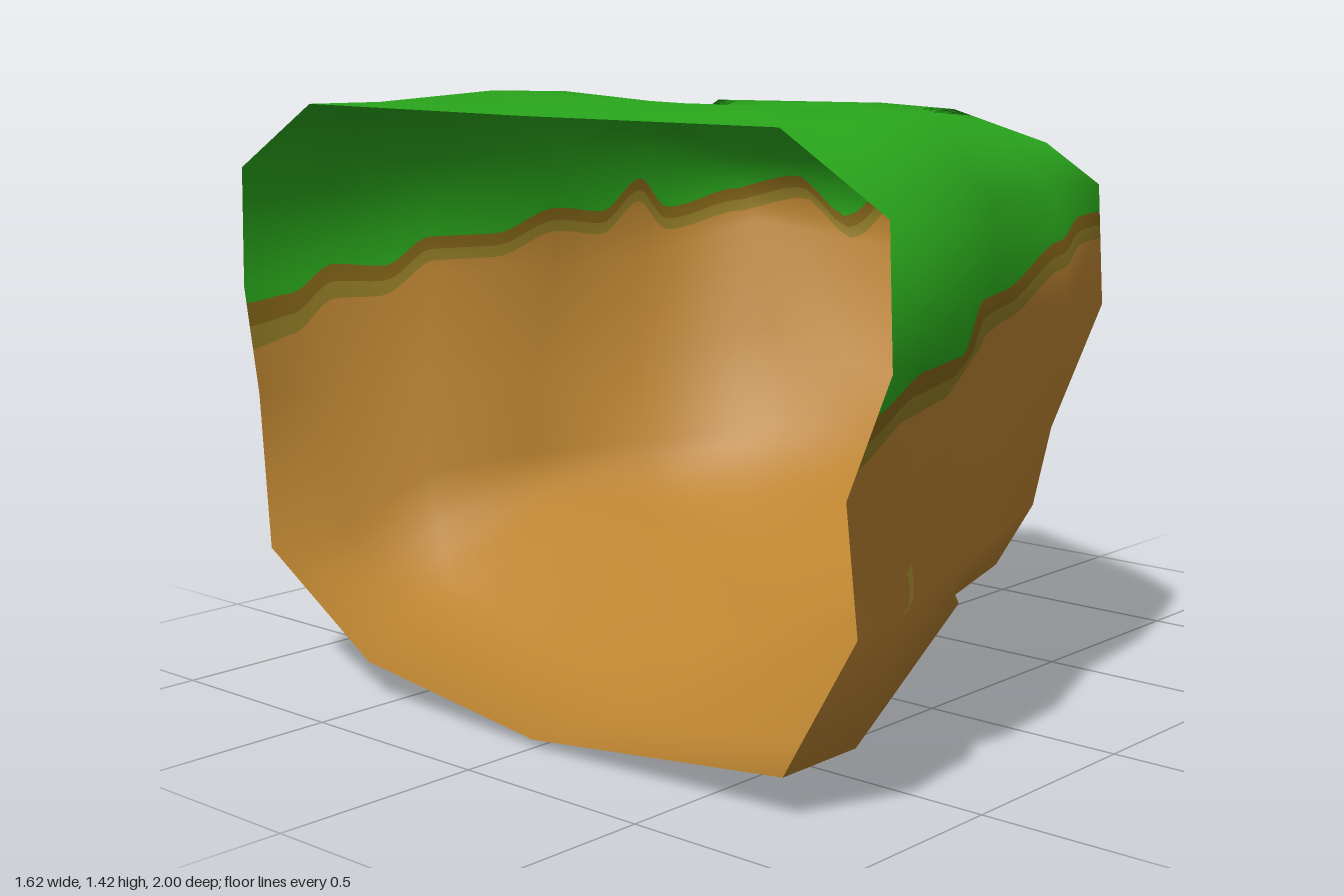
import * as THREE from 'three';

const OPEN = -0.81; // x of the open end

// Widest outline [x, z], running from the open end round the nose and back
const outline = [
  [-0.81, 1], [-0.55, 0.97], [-0.25, 0.86], [0.08, 0.81], [0.33, 0.73], [0.57, 0.5], [0.81, 0],
  [0.56, -0.53], [0.33, -0.74], [0.02, -0.76], [-0.3, -0.88], [-0.53, -1], [-0.81, -0.99],
];
const LAST = outline.length - 1;

// Levels from top spine to bottom spine: length scale, width scale, height at open end and nose
const levels = [
  { sx: 0.70, sz: 0, y0: 1.397, y1: 1.385 },
  { sx: 0.765, sz: 0.72, y0: 1.4, y1: 1.38 },
  { sx: 0.93, sz: 0.99, y0: 1.24, y1: 1.21 },
  { sx: 1, sz: 1, y0: 0.95, y1: 0.94 },
  { sx: 0.84, sz: 0.89, y0: 0.69, y1: 0.63 },
  { sx: 0.81, sz: 0.92, y0: 0.42, y1: 0.52 },
  { sx: 0.73, sz: 0.73, y0: 0.1, y1: 0.42 },
  { sx: 0.67, sz: 0, y0: 0.02, y1: 0.3 },
];
const K = levels.length;

// Single knobbly corners of the rock, by 'column,level'
const knobs = {
  '2,0': [-0.3, 1.405, 0], '10,0': [-0.3, 1.405, 0],
  '2,1': [-0.29, 1.41, 0.68], '3,1': [0, 1.375, 0.62], '4,1': [0.31, 1.31, 0.58],
  '8,1': [0.31, 1.31, -0.57], '9,1': [-0.11, 1.41, -0.58], '10,1': [-0.32, 1.418, -0.62],
  '4,2': [0.32, 1.22, 0.72], '8,2': [0.33, 1.25, -0.71], '9,2': [-0.03, 1.27, -0.71],
  '7,3': [0.56, 1.04, -0.53],
  '4,4': [0.22, 0.66, 0.67], '5,4': [0.5, 0.63, 0.46],
  '7,4': [0.505, 0.77, -0.43], '8,4': [0.24, 0.66, -0.7],
  '4,5': [0.18, 0.48, 0.65], '5,5': [0.39, 0.43, 0.46], '6,5': [0.5, 0.52, 0],
  '7,5': [0.505, 0.5, -0.35], '8,5': [0.24, 0.46, -0.65],
  '11,5': [-0.58, 0.31, -0.92], '12,5': [-0.81, 0.31, -0.92],
  '0,6': [-0.81, 0.1, 0.73], '1,6': [-0.55, 0.09, 0.71], '2,6': [-0.19, 0.33, 0.71],
  '3,6': [-0.03, 0.26, 0.54], '4,6': [0.15, 0.33, 0.57], '5,6': [0.28, 0.38, 0.36],
  '6,6': [0.37, 0.41, 0], '7,6': [0.28, 0.33, -0.35], '8,6': [0.15, 0.3, -0.6],
  '9,6': [-0.12, 0.33, -0.68], '10,6': [-0.42, 0.19, -0.72],
  '11,6': [-0.55, 0.1, -0.71], '12,6': [-0.81, 0.09, -0.56],
  '1,7': [-0.53, 0, 0], '11,7': [-0.53, 0, 0], '6,7': [0.28, 0.31, 0],
};

// Lower edge of the grass: [column, height]
const grassEdge = [
  [0, 0.87], [0.5, 0.94], [1, 0.95], [1.6, 1.04], [2, 1.04], [3, 1.12], [3.5, 1.16], [3.98, 1.16],
  [4.08, 1.09], [4.35, 1.04], [4.6, 1.07], [4.9, 1.14], [5.4, 1.14], [5.8, 1.07], [6.23, 1.17],
  [6.55, 1.06], [6.72, 1.17], [7.1, 1.13], [7.8, 1.08], [8.1, 1.16], [8.5, 1.08], [9, 1.1],
  [9.5, 1.04], [10, 1.04], [10.5, 0.97], [11, 0.98], [11.5, 0.92], [12, 0.91],
];

function edgeHeight(u) {
  let i = 0;
  while (i < grassEdge.length - 2 && u > grassEdge[i + 1][0]) i++;
  const [u0, h0] = grassEdge[i], [u1, h1] = grassEdge[i + 1];
  return THREE.MathUtils.lerp(h0, h1, THREE.MathUtils.smoothstep(u, u0, u1));
}

// Corner of the coarse rock shape
function corner(j, k) {
  const knob = knobs[`${j},${k}`];
  if (knob) return new THREE.Vector3(...knob);
  const l = levels[k];
  const [cx, cz] = outline[j];
  const ox = l.sz === 0 ? (cx + outline[LAST - j][0]) / 2 : cx;
  const x = OPEN + (ox - OPEN) * l.sx;
  let y = THREE.MathUtils.lerp(l.y0, l.y1, (ox - OPEN) / 1.62);
  if (k === 7 && ox !== OPEN) y = 0.365 * (x + 0.53);
  const sz = k === 4 && cz < 0 ? 0.955 : l.sz;
  return new THREE.Vector3(x, y, cz * sz);
}

// Evenly split each span between stops
function splitSpans(stops, n) {
  const out = [stops[0]];
  for (let i = 1; i < stops.length; i++) {
    for (let r = 1; r <= n; r++) out.push(THREE.MathUtils.lerp(stops[i - 1], stops[i], r / n));
  }
  return out;
}

// Triangles for a grid between two rows
function gridIndex(columns, rowFrom, rowTo, rowCount) {
  const index = [];
  for (let i = 0; i < columns; i++) {
    for (let r = rowFrom; r < rowTo; r++) {
      const a = i * rowCount + r, b = a + 1, c = a + rowCount, d = c + 1;
      index.push(a, b, c, c, b, d);
    }
  }
  return index;
}

function paint(name, color) {
  const material = new THREE.MeshStandardMaterial({ color, side: THREE.DoubleSide });
  material.name = name;
  return material;
}

export function createModel() {
  const group = new THREE.Group();
  group.name = 'cliffEnd';

  // Coarse shape with smooth normals, shared by both halves along the spines
  const coarse = [];
  for (let j = 0; j <= LAST; j++) for (let k = 0; k < K; k++) coarse.push(corner(j, k));
  const coarseGeo = new THREE.BufferGeometry().setFromPoints(coarse);
  coarseGeo.setIndex(gridIndex(LAST, 0, K - 1, K));
  coarseGeo.computeVertexNormals();
  const normalAt = (i) => new THREE.Vector3().fromBufferAttribute(coarseGeo.attributes.normal, i);
  const normals = coarse.map((p, i) => {
    const k = i % K, j = (i - k) / K;
    if (k > 0 && k < K - 1) return normalAt(i);
    return normalAt(i).add(normalAt((LAST - j) * K + k)).normalize();
  });

  const sample = (list, u, s) => {
    const j = Math.min(Math.floor(u), LAST - 1), k = Math.min(Math.floor(s), K - 2);
    const along = (c) => list[c * K + k].clone().lerp(list[c * K + k + 1], s - k);
    return along(j).lerp(along(j + 1), u - j);
  };

  // Level at which a column reaches a given height
  const levelAt = (u, y) => {
    for (let k = 1; k < K - 1; k++) {
      const ya = sample(coarse, u, k).y, yb = sample(coarse, u, k + 1).y;
      if (y <= ya && y >= yb) return k + (ya - y) / (ya - yb);
    }
    return 3;
  };

  // Fine grid whose rows follow the grass edge and the rock's levels
  const STEPS = 20, COLS = LAST * STEPS, GRASS = 16, ROCK = 20;
  const ROWS = GRASS + ROCK + 3;
  const pos = [], nor = [];
  for (let i = 0; i <= COLS; i++) {
    const u = i / STEPS;
    const edge = edgeHeight(u);
    const wide = 0.05 * Math.max(0, 1 - Math.min(u, LAST - u) / 2);
    const s0 = levelAt(u, edge);
    const s1 = levelAt(u, edge - 0.032 - wide * 0.5);
    const s2 = levelAt(u, edge - 0.062 - wide);
    const rows = [
      ...splitSpans([0, 1, 2, Math.min(s0, 3), s0], 4),
      s1,
      ...splitSpans([s2, Math.max(s2, 3), 4, 5, 6, 7], 4),
    ];
    for (const s of rows) {
      pos.push(...sample(coarse, u, s).toArray());
      nor.push(...sample(normals, u, s).normalize().toArray());
    }
  }
  const position = new THREE.Float32BufferAttribute(pos, 3);
  const normal = new THREE.Float32BufferAttribute(nor, 3);

  // One mesh for each painted layer
  const addLayer = (name, material, from, to) => {
    const geo = new THREE.BufferGeometry();
    geo.setAttribute('position', position);
    geo.setAttribute('normal', normal);
    geo.setIndex(gridIndex(COLS, from, to, ROWS));
    const mesh = new THREE.Mesh(geo, material);
    mesh.name = name;
    group.add(mesh);
  };
  const moss = paint('mossOlive', 0x927c26);
  addLayer('grassTop', paint('grassGreen', 0x2aa81c), 0, GRASS);
  addLayer('soilBand', paint('darkSoil', 0x846518), GRASS, GRASS + 1);
  addLayer('mossBand', moss, GRASS + 1, GRASS + 2);
  addLayer('rockBody', paint('earthBrown', 0xbc8431), GRASS + 2, ROWS - 1);

  // Small moss patch lying on the front face
  const blot = new THREE.ShapeGeometry(new THREE.Shape([
    [-0.15, 0.08], [-0.13, 0.16], [0.02, 0.15], [0.07, 0], [0.03, -0.13], [0.13, -0.18],
    [0.14, -0.03], [0.12, 0.1], [0, 0.17],
  ].map(([a, b]) => new THREE.Vector2(a, b)).reverse()));
  const spots = blot.attributes.position;
  for (let i = 0; i < spots.count; i++) {
    const u = 0.85 + spots.getX(i), s = 4.8 + spots.getY(i);
    const p = sample(coarse, u, s).addScaledVector(sample(normals, u, s).normalize(), 0.008);
    spots.setXYZ(i, p.x, p.y, p.z);
  }
  // Levels count downwards, so turn the faces outwards
  blot.setIndex([...blot.index.array].reverse());
  blot.computeVertexNormals();
  const patch = new THREE.Mesh(blot, moss);
  patch.name = 'mossPatch';
  group.add(patch);

  return group;
}
